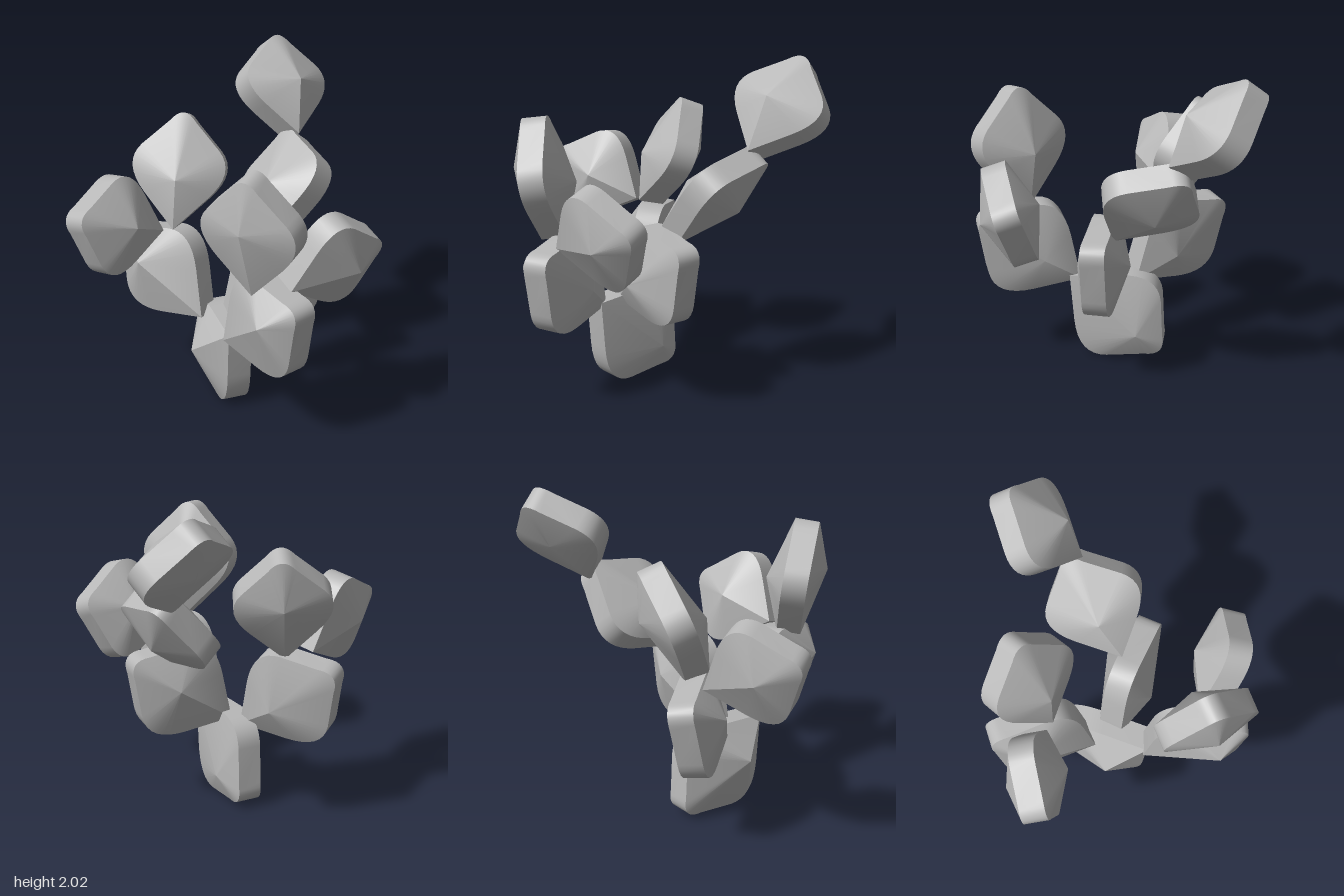
import * as THREE from 'three';
import { toCreasedNormals } from 'three/addons/utils/BufferGeometryUtils.js';

// One pad: a rounded square with a sharp base corner at the origin, growing along +y,
// with a flat rim and a faceted peak on each face (near peak on +z, far peak on -z).
function padGeometry([width, length], [nearY, nearHeight], [farY, farHeight]) {
  const shape = new THREE.Shape();
  shape.moveTo(0, 0);
  shape.lineTo(0.205, 0.22);
  shape.quadraticCurveTo(0.37, 0.4, 0.25, 0.53);
  shape.lineTo(0.085, 0.695);
  shape.quadraticCurveTo(0, 0.81, -0.085, 0.695);
  shape.lineTo(-0.25, 0.53);
  shape.quadraticCurveTo(-0.37, 0.4, -0.205, 0.22);
  const outline = shape.getPoints(8);
  const n = outline.length;
  const rim = 0.074;
  const positions = [];
  const index = [];
  for (const p of outline) {
    const x = p.x * width, y = p.y * length;
    positions.push(x, y, rim, x, y, -rim);
  }
  positions.push(0, nearY, nearHeight, 0, farY, -farHeight);
  for (let i = 0; i < n; i++) {
    const f = 2 * i, b = f + 1;
    const f2 = 2 * ((i + 1) % n), b2 = f2 + 1;
    index.push(f, b, b2, f, b2, f2); // rim
    index.push(f, f2, 2 * n); // near-peak face
    index.push(b2, b, 2 * n + 1); // far-peak face
  }
  const g = new THREE.BufferGeometry();
  g.setAttribute('position', new THREE.Float32BufferAttribute(positions, 3));
  g.setIndex(index);
  return toCreasedNormals(g.toNonIndexed(), 0.4);
}

// name, base corner, growth direction, normal of the near-peak face,
// [width, length], near peak [distance from base, height], far peak [distance, height]
const PADS = [
  ['basePad', [-0.25, 0.53, 0.2], [0.2, -0.5, -0.55], [-0.94, 0, -0.34], [1.06, 1], [0.29, 0.24], [0.56, 0.15]],
  ['frontLowerPad', [-0.268, 0.5, 0.15], [0, 0.44, 0.63], [1, 0, 0], [1.02, 1], [0.29, 0.14], [0.56, 0.21]],
  ['backLowerPad', [-0.2, 0.49, -0.17], [-0.13, 0.44, -0.62], [1, -0.15, -0.31], [1.01, 1], [0.29, 0.16], [0.5, 0.2]],
  ['sideLowerPad', [-0.16, 0.5, -0.055], [0.55, 0.42, 0.25], [-0.41, 0, 0.91], [1.02, 1], [0.29, 0.18], [0.45, 0.18]],
  ['frontOuterPad', [-0.22, 1, 0.55], [0.56, 0.16, 0.13], [0.1, 0.3, -0.95], [1.02, 0.82], [0.33, 0.18], [0.4, 0.18]],
  ['frontUprightPad', [-0.35, 0.98, 0.47], [-0.09, 0.73, 0.04], [0.93, 0.1, -0.37], [0.97, 0.97], [0.33, 0.19], [0.45, 0.17]],
  ['backOuterPad', [-0.34, 1.0, -0.5], [-0.59, 0.24, 0.02], [0.08, 0.2, 0.97], [0.98, 0.85], [0.32, 0.2], [0.38, 0.17]],
  ['backUprightPad', [-0.24, 0.99, -0.44], [0.3, 0.9, -0.2], [-0.65, 0.36, 0.64], [0.95, 0.95], [0.3, 0.18], [0.44, 0.18]],
  ['sideMiddlePad', [0.18, 0.97, 0.03], [0.43, 0.48, -0.32], [-0.78, 0.62, -0.08], [1, 0.95], [0.29, 0.18], [0.4, 0.18]],
  ['sideTopPad', [0.57, 1.44, -0.26], [0.15, 0.49, -0.37], [0, -0.55, -0.8], [0.98, 0.88], [0.38, 0.13], [0.31, 0.21]],
];

export function createModel() {
  const group = new THREE.Group();
  const material = new THREE.MeshStandardMaterial({ color: 0xb8b8b8 });
  material.name = 'plain grey';
  for (const [name, base, grow, face, size, near, far] of PADS) {
    const y = new THREE.Vector3(...grow).normalize();
    const x = new THREE.Vector3().crossVectors(y, new THREE.Vector3(...face)).normalize();
    const z = new THREE.Vector3().crossVectors(x, y);
    const pad = new THREE.Mesh(padGeometry(size, near, far), material);
    pad.name = name;
    pad.quaternion.setFromRotationMatrix(new THREE.Matrix4().makeBasis(x, y, z));
    pad.position.set(...base);
    group.add(pad);
  }
  return group;
}
